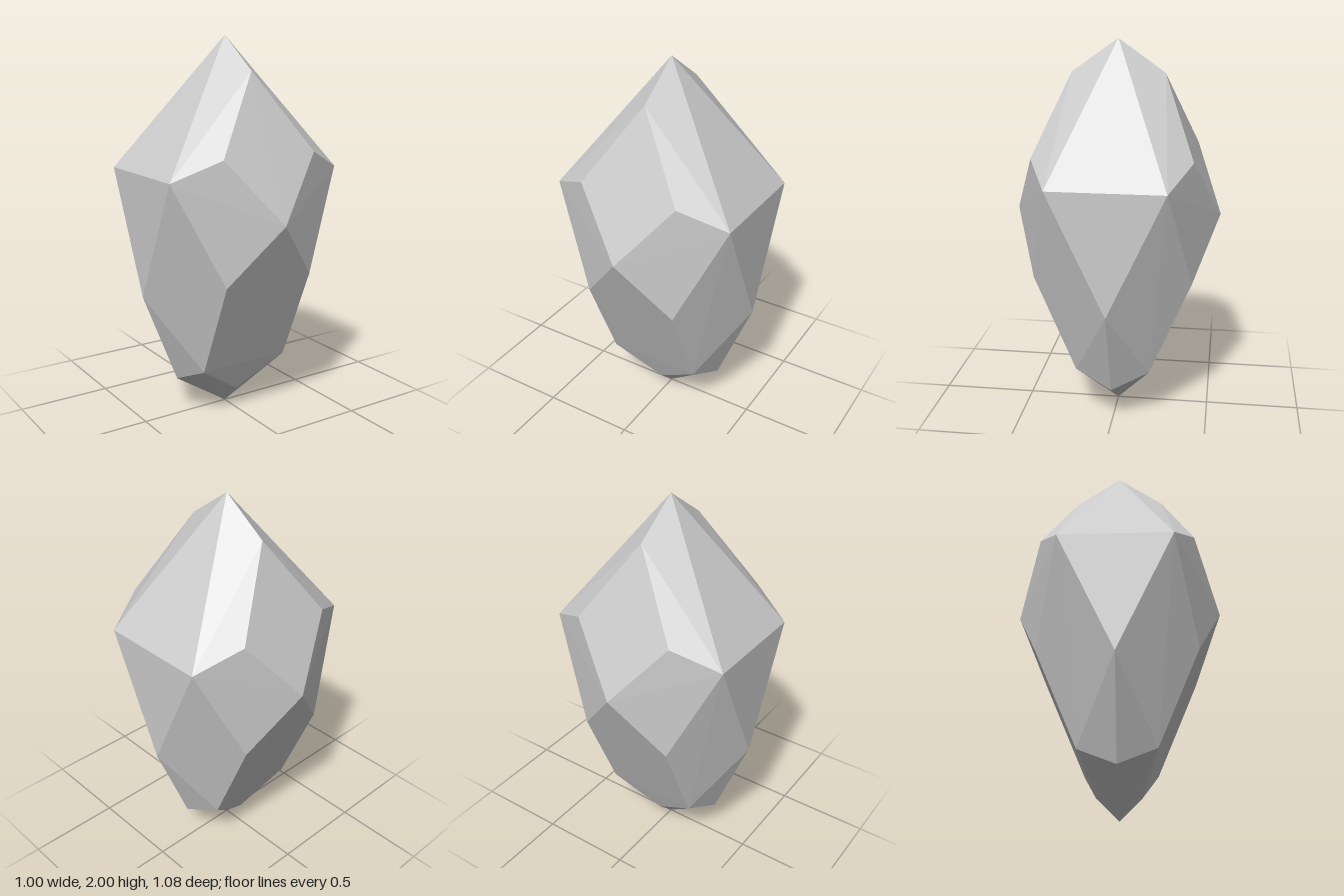
import * as THREE from 'three';
import { ConvexGeometry } from 'three/addons/geometries/ConvexGeometry.js';

// Corners of one quarter of the gem, from tip to foot; mirrored in x and z.
const quarterCorners = [
  [0, 2, 0],            // tip
  [0, 1.83, 0.24],      // upper facet top
  [0.27, 1.43, 0.405],  // upper facet side
  [0.5, 1.325, 0.295],  // shoulder
  [0, 1.105, 0.54],     // widest point, front and back
  [0.255, 0.8, 0.41],   // lower facet shoulder
  [0.5, 0.69, 0],       // side point
  [0.255, 0.29, 0.195], // foot ring
  [0.305, 0.2, 0],
  [0, 0.115, 0.115],
  [0, 0, 0],            // foot
];

export function createModel() {
  const group = new THREE.Group();
  group.name = 'gemstone';

  // Mirror the corners, dropping duplicates on the symmetry planes
  const points = [];
  for (const [x, y, z] of quarterCorners) {
    for (const sx of x ? [1, -1] : [1]) {
      for (const sz of z ? [1, -1] : [1]) {
        points.push(new THREE.Vector3(x * sx, y, z * sz));
      }
    }
  }

  // Faceted convex crystal
  const material = new THREE.MeshStandardMaterial({ color: 0xcccccc, flatShading: true });
  const crystal = new THREE.Mesh(new ConvexGeometry(points), material);
  crystal.name = 'crystal';
  group.add(crystal);
  return group;
}
